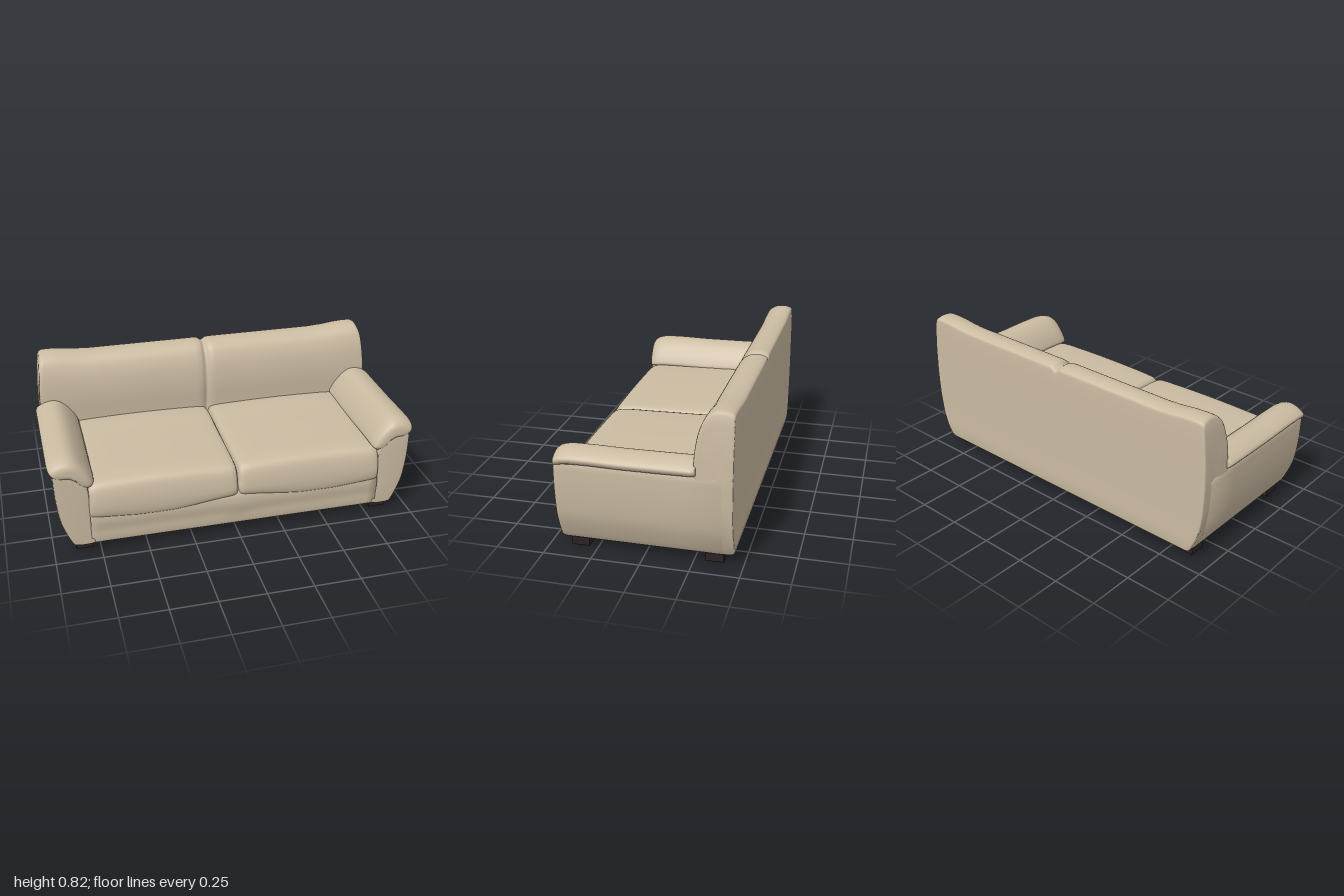
import * as THREE from 'three';

const leather = new THREE.MeshStandardMaterial({ color: 0xcbbba2 });
leather.name = 'beigeLeather';
const wood = new THREE.MeshStandardMaterial({ color: 0x2c2122 });
wood.name = 'darkWood';

const { smoothstep, lerp } = THREE.MathUtils;

// Closed smooth outline through 2D points
function outline(points, n = 4) {
  const curve = new THREE.CatmullRomCurve3(points.map(([a, b]) => new THREE.Vector3(a, b, 0)), true, 'centripetal');
  return curve.getPoints(points.length * n).slice(0, -1).map((p) => [p.x, p.y]);
}

// Outline scaled towards a centre
const inset = (pts, [ca, cb], k) => pts.map(([a, b]) => [ca + (a - ca) * k, cb + (b - cb) * k]);

// Skin over rings of [x, y, z], capped at both ends and turned outwards
function loft(rings) {
  const n = rings[0].length;
  const pos = rings.flat(2);
  const tris = [];
  for (let i = 0; i < rings.length - 1; i++) {
    for (let j = 0; j < n; j++) {
      const a = i * n + j, b = i * n + (j + 1) % n;
      tris.push([a, b, b + n], [a, b + n, a + n]);
    }
  }
  [0, rings.length - 1].forEach((r, end) => {
    const c = pos.length / 3;
    for (let k = 0; k < 3; k++) pos.push(rings[r].reduce((s, p) => s + p[k], 0) / n);
    for (let j = 0; j < n; j++) {
      const a = r * n + j, b = r * n + (j + 1) % n;
      tris.push(end ? [c, a, b] : [c, b, a]);
    }
  });
  const at = (i) => new THREE.Vector3().fromArray(pos, i * 3);
  const volume = tris.reduce((s, [a, b, c]) => s + at(a).dot(at(b).cross(at(c))), 0);
  const geo = new THREE.BufferGeometry();
  geo.setAttribute('position', new THREE.Float32BufferAttribute(pos, 3));
  geo.setIndex(tris.flatMap(([a, b, c]) => (volume < 0 ? [a, c, b] : [a, b, c])));
  geo.computeVertexNormals();
  return geo;
}

// Half width of the sofa at a given height
const WIDTH = [[0.05, 0.89], [0.12, 0.925], [0.2, 0.953], [0.3, 0.968], [0.45, 0.975], [0.6, 0.971], [0.75, 0.957], [0.83, 0.938]];
function halfWidth(y) {
  if (y <= WIDTH[0][0]) return WIDTH[0][1];
  for (let i = 1; i < WIDTH.length; i++) {
    const [y0, w0] = WIDTH[i - 1], [y1, w1] = WIDTH[i];
    if (y <= y1) return lerp(w0, w1, (y - y0) / (y1 - y0));
  }
  return WIDTH[WIDTH.length - 1][1];
}

// Full-width back with a seam notch in the middle and raised ends
function backGeometry() {
  const profile = outline([
    [-0.445, 0.05], [-0.455, 0.065], [-0.457, 0.25], [-0.457, 0.55], [-0.456, 0.775], [-0.452, 0.79], [-0.435, 0.8],
    [-0.4, 0.806], [-0.355, 0.799], [-0.315, 0.77], [-0.285, 0.71], [-0.269, 0.64], [-0.262, 0.56],
    [-0.265, 0.45], [-0.27, 0.25], [-0.27, 0.065], [-0.28, 0.05],
  ]);
  const half = [[1, 0.3], [1, 0.6], [1, 0.85], [1, 0.955], [0.996, 0.982], [0.985, 0.996], [0.97, 1],
    [0.93, 1], [0.87, 1], [0.8, 1], [0.7, 1], [0.55, 1], [0.4, 1], [0.25, 1], [0.12, 1], [0.06, 1], [0.03, 1], [0.015, 1], [0.006, 1]];
  const stations = [...half.map(([u, k]) => [-u, k]), [0, 1], ...half.slice().reverse()];
  return loft(stations.map(([u, k]) => inset(profile, [-0.365, 0.43], k).map(([z, y]) => {
    const upper = smoothstep(y, 0.55, 0.8);
    const front = smoothstep(z, -0.43, -0.33) * smoothstep(y, 0.3, 0.4);
    const seam = 1 - smoothstep(Math.abs(u), 0, 0.035);
    const rise = 0.018 * smoothstep(Math.abs(u), 0.72, 0.93);
    return [u * halfWidth(y), y + upper * (rise - 0.018 * seam), z - 0.018 * front * seam];
  })));
}

// Front apron and underside between the arms
function baseGeometry() {
  const profile = outline([
    [0.41, 0.048], [0.43, 0.055], [0.436, 0.08], [0.438, 0.13], [0.446, 0.19], [0.44, 0.24],
    [0.4, 0.3], [0.2, 0.32], [-0.3, 0.32], [-0.4, 0.3], [-0.42, 0.06], [-0.4, 0.048],
  ]);
  const xs = Array.from({ length: 33 }, (_, i) => -0.8 + i * 0.05);
  return loft(xs.map((x) => profile.map(([z, y]) => {
    const tuck = z > 0.3 ? 0.006 * Math.exp(-((x / 0.07) ** 2)) * smoothstep(y, 0.08, 0.16) : 0;
    return [x, y, z + tuck];
  })));
}

// Seat cushion with rounded ends and a drooping lower front edge
function cushionGeometry(s) {
  const profile = outline([
    [0.44, 0.2], [0.452, 0.215], [0.458, 0.27], [0.452, 0.33], [0.437, 0.38], [0.415, 0.404], [0.37, 0.415],
    [0.2, 0.42], [-0.05, 0.424], [-0.27, 0.424], [-0.3, 0.4], [-0.3, 0.22], [-0.27, 0.2], [0.2, 0.198],
  ]);
  const stations = [[0.001, 0.86], [0.004, 0.92], [0.01, 0.955], [0.02, 0.98], [0.04, 0.995], [0.08, 1], [0.15, 1], [0.25, 1],
    [0.35, 1], [0.45, 1], [0.55, 1], [0.65, 1], [0.72, 1], [0.76, 0.995], [0.785, 0.98], [0.797, 0.955], [0.802, 0.9]];
  return loft(stations.map(([x, k]) => inset(profile, [0.08, 0.3], 1).map(([z, y]) => {
    // ends round off by a fixed amount rather than in proportion to the depth
    const pull = (1 - k) * 0.3;
    const zz = z - Math.sign(z - 0.08) * Math.min(Math.abs(z - 0.08), pull * 0.75);
    const yy = y > 0.3 ? Math.max(0.3, y - pull) : y;
    const droop = 1 - smoothstep(y, 0.2, 0.3);
    const hem = 0.037 * (1 - smoothstep(x, 0, 0.4)) + 0.018 * smoothstep(x, 0.5, 0.8);
    const puff = smoothstep(y, 0.35, 0.41) * 0.009 * Math.sin(Math.PI * x / 0.803);
    return [s * x, yy + droop * hem + puff, zz];
  })));
}

// Side panel below the arm pad
function armPanelGeometry(s) {
  const profile = outline([
    [0.885, 0.049], [0.895, 0.058], [0.925, 0.12], [0.953, 0.2], [0.968, 0.3], [0.975, 0.42], [0.968, 0.5], [0.93, 0.515],
    [0.88, 0.5], [0.83, 0.45], [0.802, 0.4], [0.795, 0.3], [0.785, 0.15], [0.778, 0.058], [0.785, 0.049],
  ]);
  const stations = [[-0.4, 1], [-0.2, 1], [0.1, 1], [0.3, 1], [0.405, 1], [0.424, 0.99], [0.433, 0.97], [0.436, 0.93], [0.438, 0.5]];
  return loft(stations.map(([z, k]) => inset(profile, [0.87, 0.28], k).map(([x, y]) => [s * x, y, z])));
}

// Crescent-shaped pad draped over the arm
function armPadGeometry(s) {
  const profile = outline([
    [0.97, 0.493], [0.992, 0.508], [0.999, 0.528], [0.975, 0.551], [0.935, 0.568], [0.89, 0.571], [0.85, 0.553], [0.8, 0.5],
    [0.77, 0.45], [0.763, 0.425], [0.778, 0.411], [0.81, 0.416], [0.84, 0.45], [0.89, 0.483], [0.93, 0.49],
  ]);
  const stations = [[-0.275, 0.5, 0], [-0.275, 0.9, 0], [-0.27, 0.97, 0], [-0.255, 1, 0], [-0.1, 1, -0.002], [0.1, 1, -0.003],
    [0.25, 1, 0], [0.35, 1, -0.001], [0.39, 0.985, -0.006], [0.415, 0.95, -0.013], [0.431, 0.88, -0.022], [0.44, 0.7, -0.028], [0.443, 0.35, -0.03]];
  return loft(stations.map(([z, k, dy]) => inset(profile, [0.885, 0.525], k).map(([x, y]) => [s * x, y + dy, z])));
}

export function createModel() {
  const sofa = new THREE.Group();
  sofa.name = 'sofa';
  const add = (name, geometry, material = leather) => {
    const mesh = new THREE.Mesh(geometry, material);
    mesh.name = name;
    sofa.add(mesh);
    return mesh;
  };

  add('backrest', backGeometry());
  add('base', baseGeometry());

  for (const [side, s] of [['left', 1], ['right', -1]]) {
    add(side + 'SeatCushion', cushionGeometry(s));
    add(side + 'ArmPanel', armPanelGeometry(s));
    add(side + 'ArmPad', armPadGeometry(s));
    // Block feet
    for (const [end, z] of [['Front', 0.343], ['Back', -0.353]]) {
      add(side + end + 'Foot', new THREE.BoxGeometry(0.092, 0.052, 0.092), wood).position.set(s * 0.834, 0.026, z);
    }
  }
  return sofa;
}
